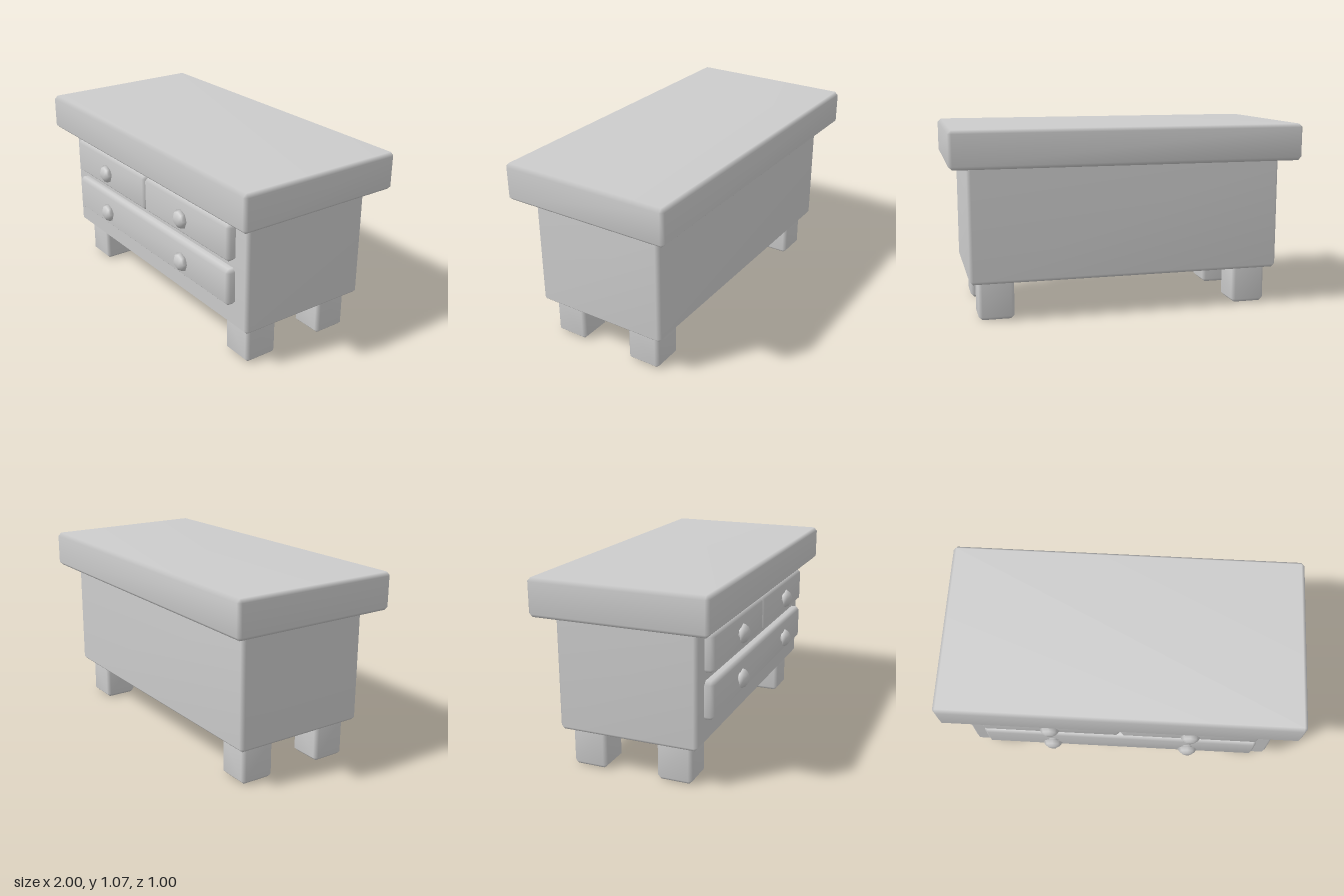
import * as THREE from 'three';
import { ConvexGeometry } from 'three/addons/geometries/ConvexGeometry.js';
import { mergeVertices } from 'three/addons/utils/BufferGeometryUtils.js';

const grey = new THREE.MeshStandardMaterial({ color: 0xcccccc });
grey.name = 'grey';

// Box with chamfered edges and smooth shading, given by its min and max corners
function bevelBox(name, min, max, bevel = 0.02) {
  const half = max.map((v, i) => (v - min[i]) / 2);
  const points = [];
  for (const sx of [-1, 1]) for (const sy of [-1, 1]) for (const sz of [-1, 1]) {
    for (let axis = 0; axis < 3; axis++) {
      const p = half.map((h, i) => (i === axis ? h : h - bevel));
      points.push(new THREE.Vector3(sx * p[0], sy * p[1], sz * p[2]));
    }
  }
  let geometry = new ConvexGeometry(points);
  geometry.deleteAttribute('normal');
  geometry = mergeVertices(geometry, 1e-4);
  geometry.computeVertexNormals();
  const mesh = new THREE.Mesh(geometry, grey);
  mesh.name = name;
  mesh.position.set(...max.map((v, i) => (v + min[i]) / 2));
  return mesh;
}

// Eight-sided turned knob pointing along +z
function knob(name, x, y) {
  const profile = [[0.03, -0.01], [0.03, 0.012], [0.057, 0.016], [0.045, 0.036], [0.024, 0.05], [0, 0.05]]
    .map(([r, h]) => new THREE.Vector2(r, h));
  const mesh = new THREE.Mesh(new THREE.LatheGeometry(profile, 8), grey);
  mesh.name = name;
  mesh.rotation.x = Math.PI / 2;
  mesh.position.set(x, y, 0.45);
  return mesh;
}

export function createModel() {
  const model = new THREE.Group();
  model.name = 'chestOfDrawers';

  // Carcass and thick top
  model.add(bevelBox('body', [-0.9, 0.217, -0.4], [0.9, 0.89, 0.4]));
  model.add(bevelBox('tabletop', [-1, 0.862, -0.5], [1, 1.072, 0.5]));

  // Legs
  for (const sx of [-1, 1]) for (const sz of [-1, 1]) {
    const name = (sz > 0 ? 'front' : 'back') + (sx > 0 ? 'Left' : 'Right') + 'Leg';
    const x = sx * 0.75, z = sz * 0.25;
    model.add(bevelBox(name, [x - 0.1, 0, z - 0.1], [x + 0.1, 0.25, z + 0.1]));
  }

  // Two small drawers above one wide drawer
  model.add(bevelBox('upperRightDrawer', [-0.8, 0.615, 0.36], [0, 0.826, 0.45]));
  model.add(bevelBox('upperLeftDrawer', [0, 0.615, 0.36], [0.8, 0.826, 0.45]));
  model.add(bevelBox('lowerDrawer', [-0.8, 0.358, 0.36], [0.8, 0.57, 0.45]));

  // Knobs
  for (const [row, y] of [['upper', 0.72], ['lower', 0.463]]) {
    model.add(knob(row + 'RightKnob', -0.4, y), knob(row + 'LeftKnob', 0.4, y));
  }
  return model;
}
